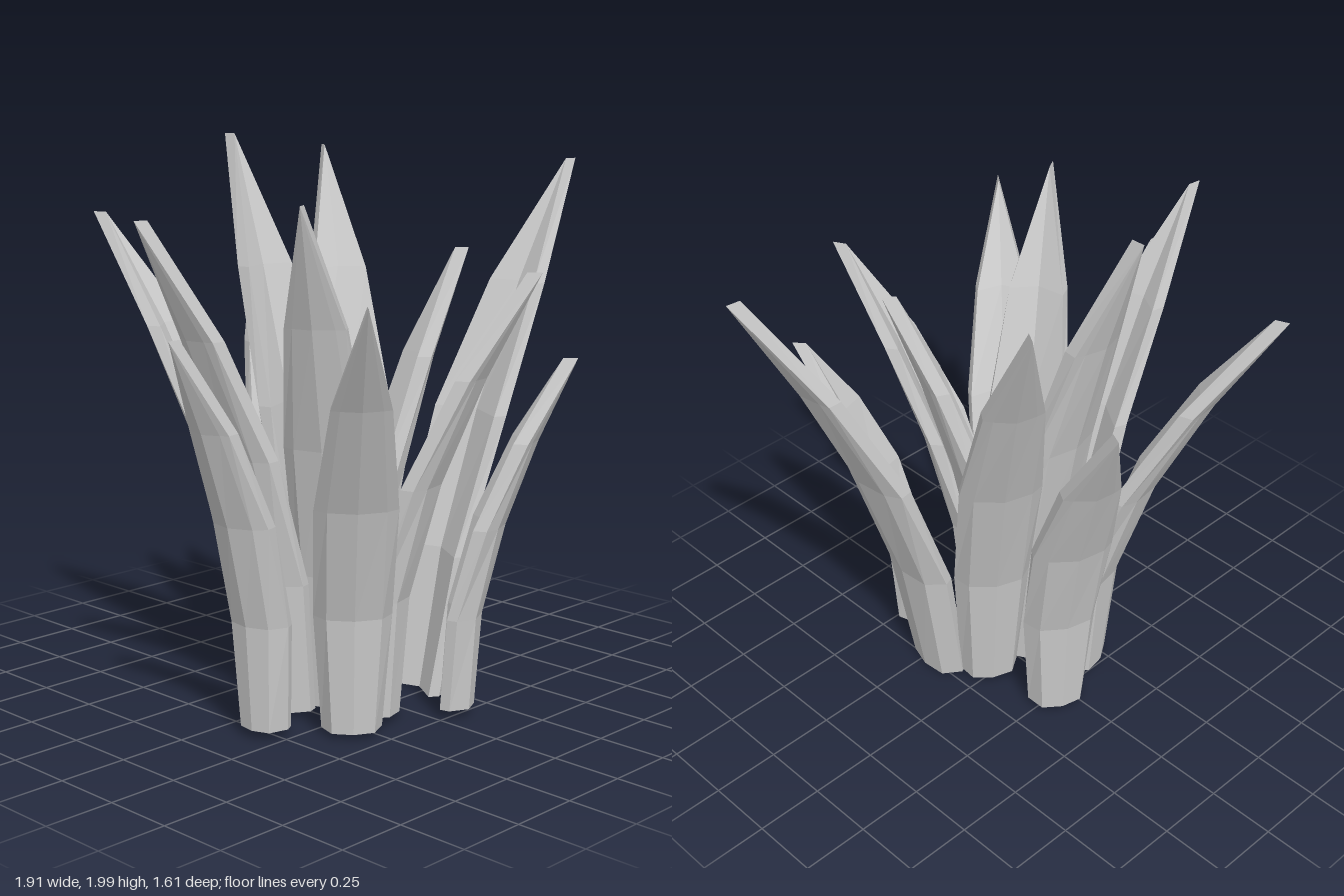
import * as THREE from 'three';

const material = new THREE.MeshStandardMaterial({ color: 0xcccccc, flatShading: true, side: THREE.DoubleSide });

// Each leaf: foot x, foot z, tip x, tip z, foot height, tip height, half width,
// straightness (0 = full curve, 1 = straight)
const LEAVES = [
  [0.28, 0.22, 0.955, 0.30, 0.01, 1.90, 0.17, 0.28],
  [-0.58, 0.165, -0.955, 0.21, 0.04, 1.41, 0.12, 0],
  [-0.36, 0.04, -0.885, -0.03, 0.03, 1.76, 0.14, 0.15],
  [-0.205, -0.25, -0.43, -0.81, 0.03, 1.72, 0.155, 0],
  [0.085, -0.33, 0.28, -0.73, 0.03, 1.57, 0.145, 0],
  [0.155, -0.03, 0.47, -0.545, 0.02, 1.94, 0.147, 0.25],
  [-0.095, -0.06, -0.10, -0.465, 0.02, 2.00, 0.16, 0.2],
  [-0.20, 0.17, -0.55, 0.375, 0.02, 1.81, 0.15, 0.2],
  [0.02, 0.17, 0.30, 0.345, 0.03, 1.62, 0.135, 0.1],
  [-0.09, 0.39, 0.135, 0.80, 0.04, 1.58, 0.137, 0],
  [-0.35, 0.42, -0.685, 0.80, 0.03, 1.54, 0.14, 0],
  [0.155, 0.52, 0.37, 0.775, 0.04, 1.27, 0.13, 0],
];

// Stations up the leaf: height fraction, outward fraction, width fraction,
// outer depth, outer shoulder fraction, thickness, inner depth, inner width fraction
const STATIONS = [
  [0, 0, 0.74, 0.085, 0.2, 0.068, 0.05, 0.84],
  [0.27, 0.07, 0.95, 0.085, 0.25, 0.055, 0.065, 0.88],
  [0.53, 0.3, 1, 0.065, 0.42, 0.05, 0.062, 0.92],
  [0.77, 0.62, 0.7, 0.038, 0.6, 0.05, 0.038, 0.95],
  [1, 1, 0, 0, 0, 0.05, 0, 1],
];

// Foot face, as corners of the section ring
const FOOT = [7, 1, 0, 7, 6, 1, 6, 2, 1, 6, 3, 2, 6, 5, 3, 5, 4, 3];

function leafGeometry([x0, z0, x1, z1, y0, y1, halfWidth, straight]) {
  const reach = Math.hypot(x1 - x0, z1 - z0);
  const dx = (x1 - x0) / reach;
  const dz = (z1 - z0) / reach;
  const positions = [];
  const index = [...FOOT];

  // Ring at every station: five-point outer back, then a three-point inner fold
  for (const [h, out, wide, depth, shoulder, thickness, fold, innerWide] of STATIONS) {
    const lean = reach * THREE.MathUtils.lerp(out, h, straight);
    const w = halfWidth * wide;
    const rim = thickness + fold;
    const ring = [
      [-w, depth], [-0.7 * w, shoulder * depth], [0, 0], [0.7 * w, shoulder * depth], [w, depth],
      [w * innerWide, rim], [0, thickness], [-w * innerWide, rim],
    ];
    for (const [u, inset] of ring) {
      const r = lean - inset;
      positions.push(x0 + dx * r + dz * u, y0 + (y1 - y0) * h, z0 + dz * r - dx * u);
    }
  }

  // Skin between rings; the faces shrink to triangles at the tip, except the rims
  for (let s = 0; s < STATIONS.length - 1; s++) {
    const last = s === STATIONS.length - 2;
    for (let i = 0; i < 8; i++) {
      const a = s * 8 + i;
      const b = s * 8 + (i + 1) % 8;
      index.push(a, b, b + 8);
      if (!last || i === 4 || i === 7) index.push(a, b + 8, a + 8);
    }
  }

  const indexed = new THREE.BufferGeometry();
  indexed.setAttribute('position', new THREE.Float32BufferAttribute(positions, 3));
  indexed.setIndex(index);
  const geometry = indexed.toNonIndexed();
  geometry.computeVertexNormals();
  return geometry;
}

export function createModel() {
  const plant = new THREE.Group();
  plant.name = 'spikyPlant';
  LEAVES.forEach((leaf, i) => {
    const mesh = new THREE.Mesh(leafGeometry(leaf), material);
    mesh.name = `leaf${i + 1}`;
    plant.add(mesh);
  });
  return plant;
}
